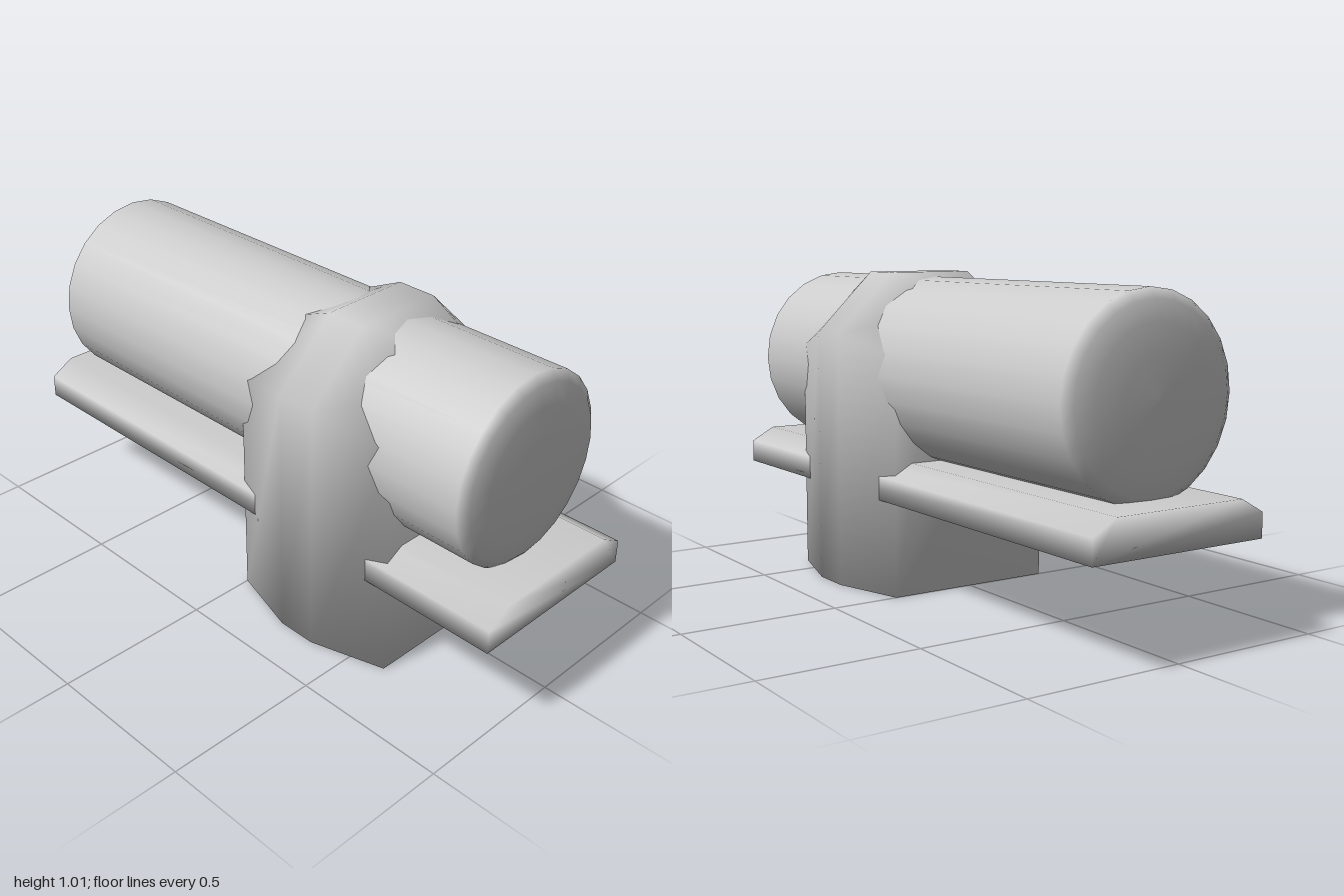
import * as THREE from 'three';

// Closed solid through cross-sections ordered from back to front;
// each section lists [x, y] corners counter-clockwise as seen from the front.
function loft(sections) {
  const n = sections[0].points.length;
  const positions = [];
  const index = [];
  for (const { z, points } of sections) {
    for (const [x, y] of points) positions.push(x, y, z);
  }
  for (let k = 0; k < sections.length - 1; k++) {
    for (let i = 0; i < n; i++) {
      const a = k * n + i;
      const b = k * n + (i + 1) % n;
      index.push(a, b, a + n, b, b + n, a + n);
    }
  }
  const last = (sections.length - 1) * n;
  for (let i = 1; i < n - 1; i++) {
    index.push(0, i + 1, i);
    index.push(last, last + i, last + i + 1);
  }
  const geometry = new THREE.BufferGeometry();
  geometry.setAttribute('position', new THREE.Float32BufferAttribute(positions, 3));
  geometry.setIndex(index);
  geometry.computeVertexNormals();
  return geometry;
}

// Symmetric block outline with chamfered upper corners
function chamfered(halfWidth, bottom, shoulder, topHalf, top) {
  return [
    [halfWidth, bottom], [halfWidth, shoulder], [topHalf, top],
    [-topHalf, top], [-halfWidth, shoulder], [-halfWidth, bottom],
  ];
}

export function createModel() {
  const model = new THREE.Group();
  const material = new THREE.MeshStandardMaterial({ color: 0xcccccc });
  const add = (name, geometry) => {
    const mesh = new THREE.Mesh(geometry, material);
    mesh.name = name;
    model.add(mesh);
    return mesh;
  };

  // Upright support block, bulging around its middle
  const narrow = chamfered(0.28, 0, 0.76, 0.12, 0.91);
  const wide = chamfered(0.35, 0, 0.82, 0.15, 1.015);
  add('supportBlock', loft([
    { z: 0, points: narrow },
    { z: 0.24, points: wide },
    { z: 0.37, points: wide },
    { z: 0.61, points: narrow },
  ]));

  // Long flat rail with bevelled upper edges
  const railOutline = chamfered(0.3, 0.305, 0.38, 0.22, 0.425);
  add('rail', loft([
    { z: -1, points: railOutline },
    { z: 1, points: railOutline },
  ]));

  // Horizontal drum with softly domed ends
  const dome = [[0, 0.908], [0.12, 0.905], [0.21, 0.896], [0.27, 0.882], [0.3, 0.86]];
  const profile = [
    ...dome.map(([r, h]) => new THREE.Vector2(r, -h)),
    ...dome.map(([r, h]) => new THREE.Vector2(r, h)).reverse(),
  ];
  const drum = add('drum', new THREE.LatheGeometry(profile, 24));
  drum.rotation.x = Math.PI / 2;
  drum.position.y = 0.7;

  return model;
}
